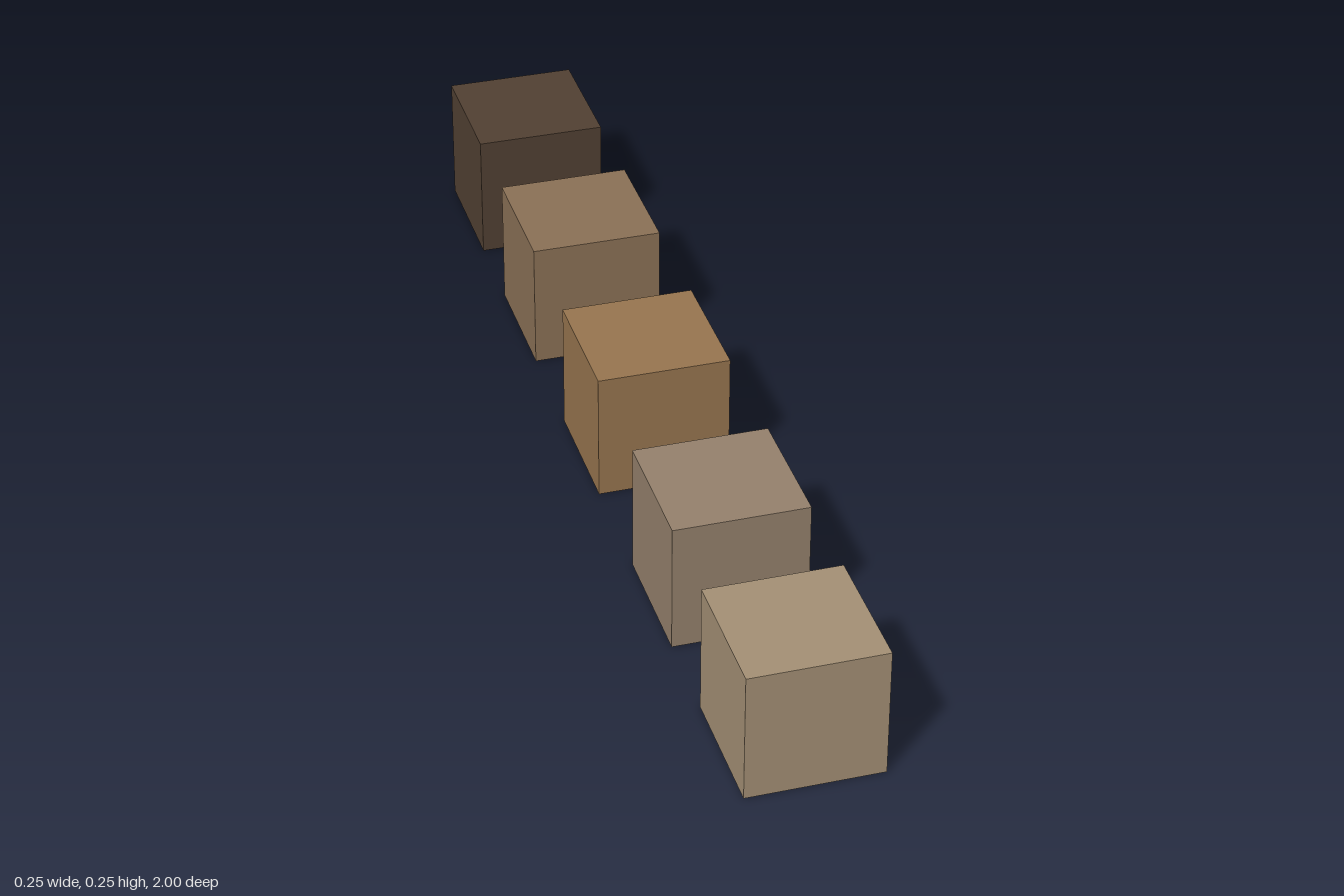
import * as THREE from 'three';

const SIZE = 0.245;

// Row of cubes, front to back: [name, z centre, color]
const CUBES = [
  ['paleTanCube', 0.8775, 0xa59176],
  ['greyBrownCube', 0.463, 0x96826d],
  ['ochreCube', -0.005, 0x987650],
  ['midBrownCube', -0.46, 0x8c7257],
  ['darkBrownCube', -0.8775, 0x524133],
];

export function createModel() {
  const group = new THREE.Group();
  group.name = 'cubeRow';
  const geometry = new THREE.BoxGeometry(SIZE, SIZE, SIZE);

  for (const [name, z, color] of CUBES) {
    const cube = new THREE.Mesh(geometry, new THREE.MeshStandardMaterial({ color }));
    cube.name = name;
    cube.position.set(0, SIZE / 2, z);
    group.add(cube);
  }
  return group;
}
